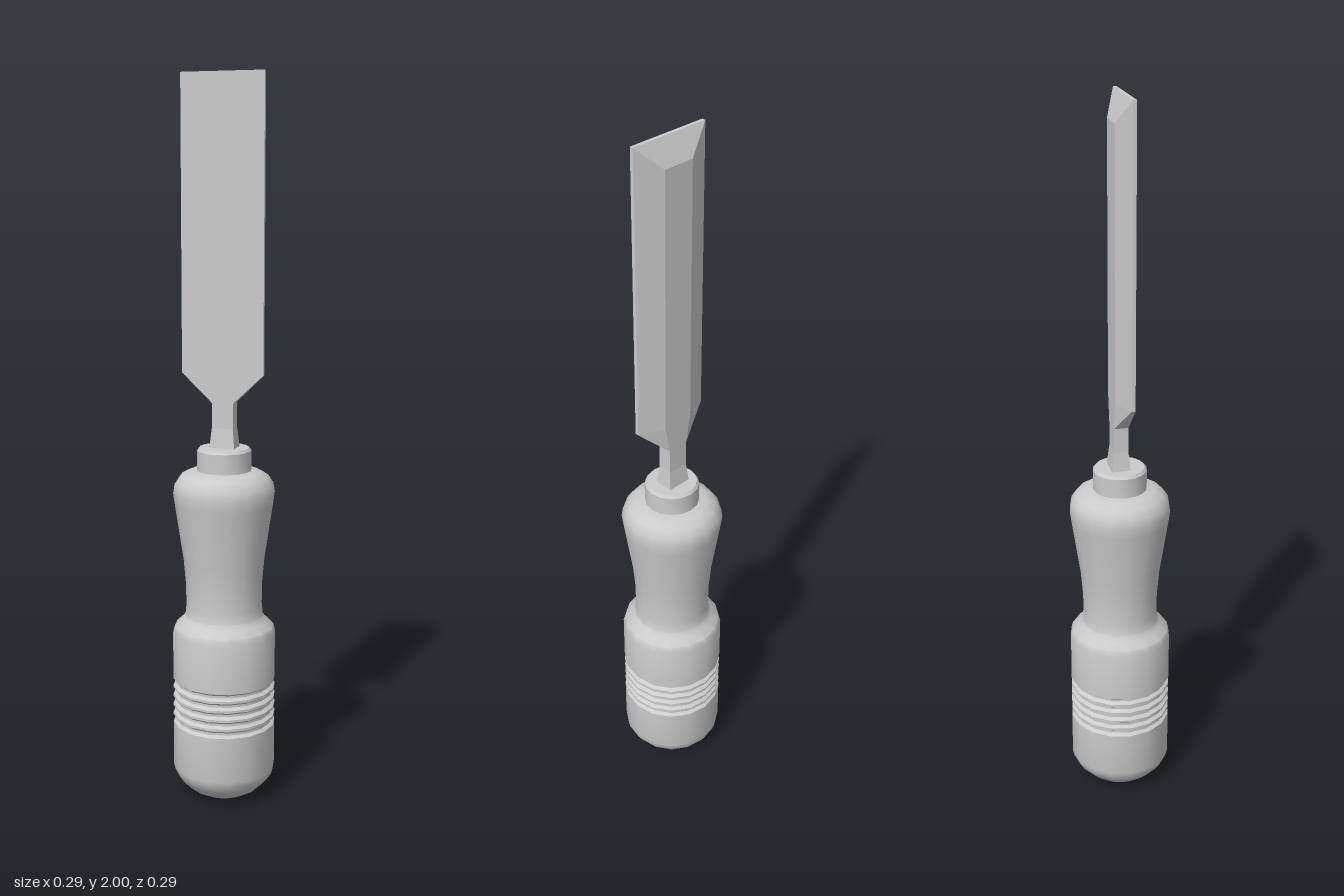
import * as THREE from 'three';
import { toCreasedNormals } from 'three/addons/utils/BufferGeometryUtils.js';

const SIDES = 16;

// Turned part from a bottom-to-top list of [radius, height]
function turned(name, profile) {
  const points = profile.map(([r, y]) => new THREE.Vector2(r, y));
  const geometry = toCreasedNormals(new THREE.LatheGeometry(points, SIDES), 0.6);
  const mesh = new THREE.Mesh(geometry, new THREE.MeshStandardMaterial({ color: 0xcccccc }));
  mesh.name = name;
  return mesh;
}

// Grip grooves: shallow rounded cuts between narrow ridges
function grooves(radius, start, end, count, depth) {
  const pitch = (end - start) / count;
  const points = [];
  for (let i = 0; i < count; i++) {
    const y = start + i * pitch;
    points.push(
      [radius, y], [radius - depth, y + pitch * 0.25],
      [radius - depth, y + pitch * 0.5], [radius, y + pitch * 0.75]
    );
  }
  return points;
}

// Six-sided sections lofted upward: a flat front, two thin sides, two bevels and a back
function blade() {
  const sections = [
    // y, back y, front half width, back half width, front z, side z, back z
    [0.99, 0.99, 0.037, 0.037, 0.024, -0.031, -0.031],
    [1.06, 1.06, 0.03, 0.03, 0.017, -0.023, -0.023],
    [1.13, 1.13, 0.03, 0.03, 0.017, -0.023, -0.023],
    [1.21, 1.21, 0.115, 0.045, 0.017, 0.007, -0.023],
    [2.0, 1.935, 0.115, 0.045, 0.017, 0.007, -0.023],
  ];
  const positions = [];
  const index = [];
  for (const [y, backY, w, b, front, side, back] of sections) {
    positions.push(
      -w, y, front, w, y, front, w, y, side,
      b, backY, back, -b, backY, back, -w, y, side
    );
  }
  for (let i = 0; i < sections.length - 1; i++) {
    for (let j = 0; j < 6; j++) {
      const p = i * 6 + j;
      const q = i * 6 + (j + 1) % 6;
      index.push(p, q, q + 6, p, q + 6, p + 6);
    }
  }
  // Narrow cutting edge and ground bevel behind it, then the hidden foot
  const t = (sections.length - 1) * 6;
  index.push(t, t + 1, t + 2, t, t + 2, t + 5);
  index.push(t + 2, t + 3, t + 4, t + 2, t + 4, t + 5);
  index.push(0, 3, 1, 0, 4, 3);

  const geometry = new THREE.BufferGeometry();
  geometry.setAttribute('position', new THREE.Float32BufferAttribute(positions, 3));
  geometry.setIndex(index);
  geometry.computeVertexNormals();
  const mesh = new THREE.Mesh(
    geometry,
    new THREE.MeshStandardMaterial({ color: 0xcccccc, flatShading: true })
  );
  mesh.name = 'blade';
  return mesh;
}

export function createModel() {
  const model = new THREE.Group();
  model.name = 'chisel';

  // Handle: rounded butt, grooved grip, narrow waist and swelling shoulder
  model.add(turned('handle', [
    [0, 0], [0.068, 0.003], [0.1, 0.021], [0.125, 0.045], [0.14, 0.068], [0.144, 0.085],
    ...grooves(0.144, 0.215, 0.35, 5, 0.009),
    [0.144, 0.35], [0.144, 0.48], [0.139, 0.498], [0.118, 0.517], [0.109, 0.53],
    [0.106, 0.56], [0.107, 0.62], [0.113, 0.69], [0.137, 0.85], [0.141, 0.88],
    [0.137, 0.905], [0.122, 0.927], [0.1, 0.939], [0.075, 0.943], [0, 0.943],
  ]));

  // Collar with a small chamfer
  model.add(turned('collar', [
    [0.075, 0.93], [0.075, 0.998], [0.069, 1.006], [0, 1.006],
  ]));

  model.add(blade());
  return model;
}
